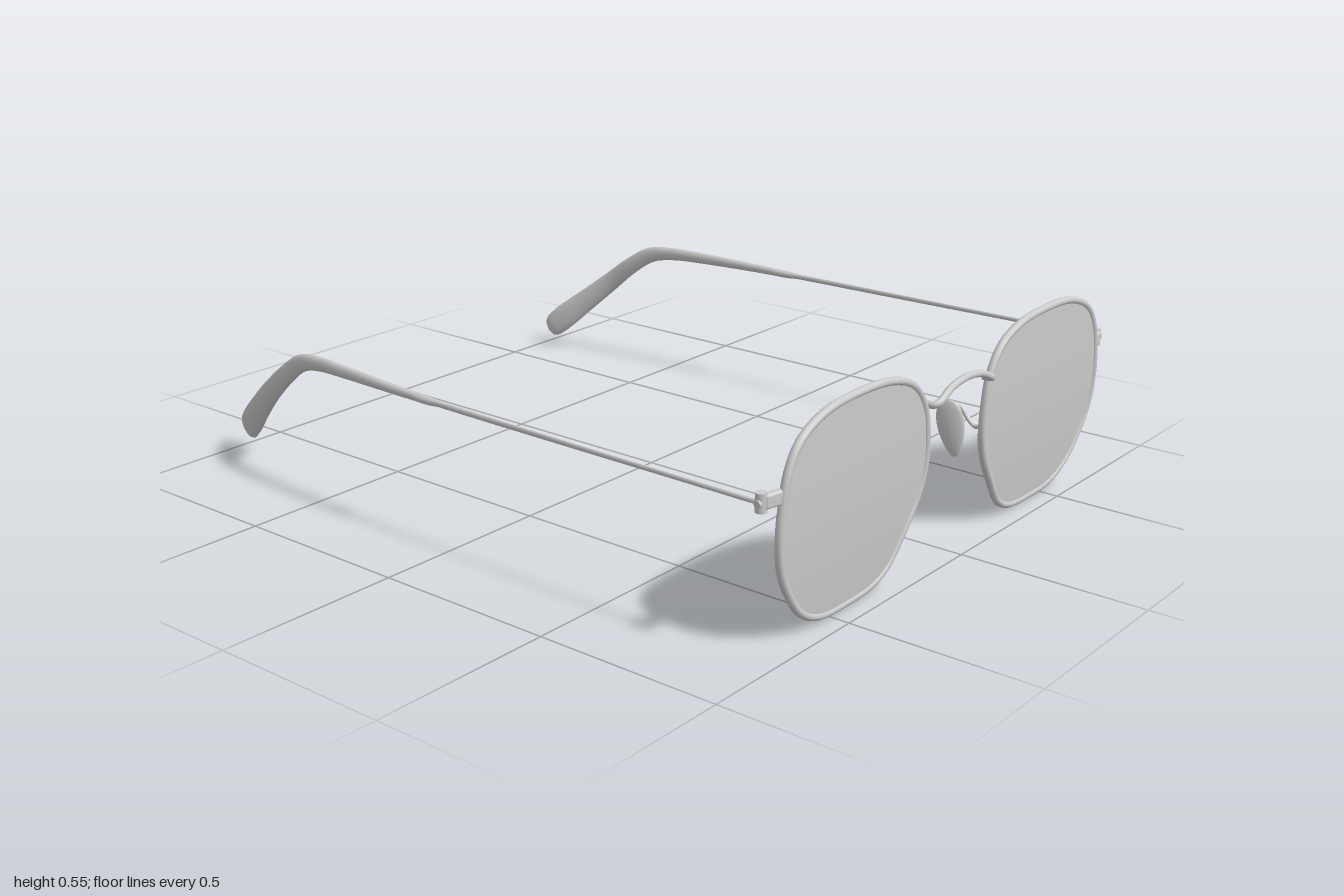
import * as THREE from 'three';
import { RoundedBoxGeometry } from 'three/addons/geometries/RoundedBoxGeometry.js';

const material = new THREE.MeshStandardMaterial({ color: 0xcccccc });
const V = (x, y, z) => new THREE.Vector3(x, y, z);

// The front bends gently backwards towards its lower edge.
const frontZ = y => 0.965 - 0.022 * Math.max(0, (0.4 - y) / 0.4) ** 2;

function part(name, geometry) {
  const mesh = new THREE.Mesh(geometry, material);
  mesh.name = name;
  return mesh;
}

function indexed(positions, index) {
  const g = new THREE.BufferGeometry();
  g.setAttribute('position', new THREE.Float32BufferAttribute(positions, 3));
  g.setIndex(index);
  g.computeVertexNormals();
  return g;
}

function tube(points, radius, segments = 32) {
  const curve = new THREE.CatmullRomCurve3(points.map(p => V(...p)));
  return new THREE.TubeGeometry(curve, segments, radius, 10);
}

// Sweep of an ellipse; stations are [x, y, z, half height, half width].
function sweep(stations, steps, sides = 16) {
  const path = new THREE.CatmullRomCurve3(stations.map(s => V(s[0], s[1], s[2])));
  const size = new THREE.CatmullRomCurve3(stations.map(s => V(s[3], s[4], 0)));
  const pos = [], index = [];
  for (let i = 0; i <= steps; i++) {
    const t = i / steps, p = path.getPoint(t), r = size.getPoint(t), T = path.getTangent(t);
    const S = V(1, 0, 0).addScaledVector(T, -T.x).normalize();
    const U = S.clone().cross(T);
    for (let j = 0; j < sides; j++) {
      const a = (j / sides) * Math.PI * 2;
      const q = p.clone().addScaledVector(S, Math.cos(a) * r.y).addScaledVector(U, Math.sin(a) * r.x);
      pos.push(q.x, q.y, q.z);
      if (i === steps) continue;
      const k = i * sides, n = (j + 1) % sides;
      index.push(k + j, k + sides + j, k + n, k + n, k + sides + j, k + sides + n);
    }
  }
  // end caps
  const last = steps * sides;
  for (let j = 1; j < sides - 1; j++) {
    index.push(0, j, j + 1, last, last + j + 1, last + j);
  }
  return indexed(pos, index);
}

// Centre line of the rounded hexagonal rim, clockwise from the top.
const CX = 0.434, CY = 0.272;
const outline = new THREE.CatmullRomCurve3([
  [0.434, 0.545], [0.585, 0.532], [0.675, 0.49], [0.717, 0.43], [0.736, 0.35], [0.741, 0.27],
  [0.728, 0.19], [0.69, 0.118], [0.63, 0.048], [0.55, 0.009], [0.434, 0.001], [0.318, 0.01],
  [0.255, 0.043], [0.2, 0.115], [0.147, 0.2], [0.127, 0.265], [0.127, 0.35], [0.145, 0.43],
  [0.195, 0.495], [0.285, 0.532],
].map(([x, y]) => V(CX + (x - CX) * 0.967, CY + (y - CY) * 0.967, frontZ(y))), true);

// Thin lens shell: concentric rings out to the rim, front then back.
function lensGeometry() {
  const n = 80, rings = 10, pos = [], index = [];
  const edge = outline.getSpacedPoints(n).slice(0, n);
  for (const side of [1, -1]) {
    const base = pos.length / 3;
    for (let i = 0; i <= rings; i++) {
      const f = Math.max(i / rings, 0.002);
      edge.forEach((p, j) => {
        const x = CX + (p.x - CX) * f, y = CY + (p.y - CY) * f;
        pos.push(x, y, frontZ(y) + side * 0.005);
        if (i === rings) return;
        const a = base + i * n + j, b = base + i * n + (j + 1) % n;
        if (side > 0) index.push(a, b, a + n, b, b + n, a + n);
        else index.push(a, a + n, b, b, a + n, b + n);
      });
    }
  }
  return indexed(pos, index);
}

// Teardrop nose pad, narrower at the bottom.
function padGeometry() {
  const g = new THREE.SphereGeometry(1, 24, 18);
  const p = g.attributes.position;
  for (let i = 0; i < p.count; i++) {
    p.setXYZ(i, p.getX(i) * 0.011, p.getY(i) * 0.076, p.getZ(i) * 0.036 * (1 + 0.28 * p.getY(i)));
  }
  g.computeVertexNormals();
  return g.rotateX(-0.18).rotateY(0.2).translate(0.119, 0.274, 0.884);
}

// Everything on the wearer's left side (+x).
function sideParts() {
  const barrel = new THREE.CylinderGeometry(0.014, 0.014, 0.046, 16).translate(0.774, 0.371, 0.943);
  const screw = new THREE.CylinderGeometry(0.009, 0.009, 0.012, 12)
    .rotateZ(Math.PI / 2).translate(0.787, 0.371, 0.945);
  return [
    part('rim', new THREE.TubeGeometry(outline, 128, 0.0105, 10, true)),
    part('lens', lensGeometry()),
    part('endPiece', new RoundedBoxGeometry(0.056, 0.036, 0.022, 3, 0.007)
      .rotateY(0.2).translate(0.747, 0.373, 0.954)),
    part('hingeBarrel', barrel),
    part('hingeScrew', screw),
    // slim metal temple wire
    part('temple', sweep([
      [0.779, 0.371, 0.945, 0.006, 0.005], [0.777, 0.371, 0.7, 0.006, 0.004],
      [0.771, 0.37, 0.3, 0.007, 0.004], [0.764, 0.37, -0.05, 0.008, 0.006],
      [0.758, 0.37, -0.2, 0.008, 0.006],
    ], 24, 12)),
    // sleeve bending down behind the ear and flaring to a paddle
    part('templeTip', sweep([
      [0.7635, 0.37, -0.085, 0.003, 0.003], [0.763, 0.37, -0.09, 0.010, 0.009],
      [0.758, 0.371, -0.22, 0.013, 0.011], [0.746, 0.371, -0.4, 0.017, 0.012],
      [0.736, 0.368, -0.52, 0.020, 0.013], [0.728, 0.354, -0.6, 0.024, 0.014],
      [0.718, 0.308, -0.675, 0.027, 0.015], [0.708, 0.238, -0.76, 0.031, 0.016],
      [0.684, 0.165, -0.845, 0.036, 0.017], [0.659, 0.104, -0.915, 0.041, 0.016],
      [0.646, 0.07, -0.953, 0.038, 0.013], [0.641, 0.056, -0.968, 0.026, 0.008],
      [0.639, 0.052, -0.973, 0.004, 0.002],
    ], 84)),
    part('nosePad', padGeometry()),
    // curled wire carrying the pad
    part('padArm', tube([
      [0.136, 0.29, 0.957], [0.137, 0.288, 0.94], [0.138, 0.305, 0.918],
      [0.137, 0.327, 0.9], [0.135, 0.325, 0.882], [0.13, 0.3, 0.878], [0.122, 0.28, 0.886],
    ], 0.006)),
  ];
}

// Mirrored copy across x = 0 with the triangle order turned round.
function mirrored(mesh) {
  const g = mesh.geometry.index ? mesh.geometry.clone() : mesh.geometry.clone().setIndex(
    Array.from({ length: mesh.geometry.attributes.position.count }, (_, i) => i));
  const p = g.attributes.position, n = g.attributes.normal, a = g.index.array;
  for (let i = 0; i < p.count; i++) {
    p.setX(i, -p.getX(i));
    n.setX(i, -n.getX(i));
  }
  for (let i = 0; i < a.length; i += 3) [a[i], a[i + 1]] = [a[i + 1], a[i]];
  return part(mesh.name, g);
}

export function createModel() {
  const model = new THREE.Group();
  model.name = 'glasses';
  const left = new THREE.Group(), right = new THREE.Group();
  left.name = 'leftSide';
  right.name = 'rightSide';
  for (const mesh of sideParts()) {
    left.add(mesh);
    right.add(mirrored(mesh));
  }
  // arched bridge standing in front of the rims, ends turned back onto them
  const half = [[0.134, 0.425, 0.958], [0.134, 0.426, 0.978], [0.125, 0.43, 0.987], [0.07, 0.455, 0.988]];
  const bridge = [...half.map(([x, y, z]) => [-x, y, z]), [0, 0.464, 0.988], ...half.slice().reverse()];
  model.add(left, right, part('bridge', tube(bridge, 0.0095, 64)));
  return model;
}
